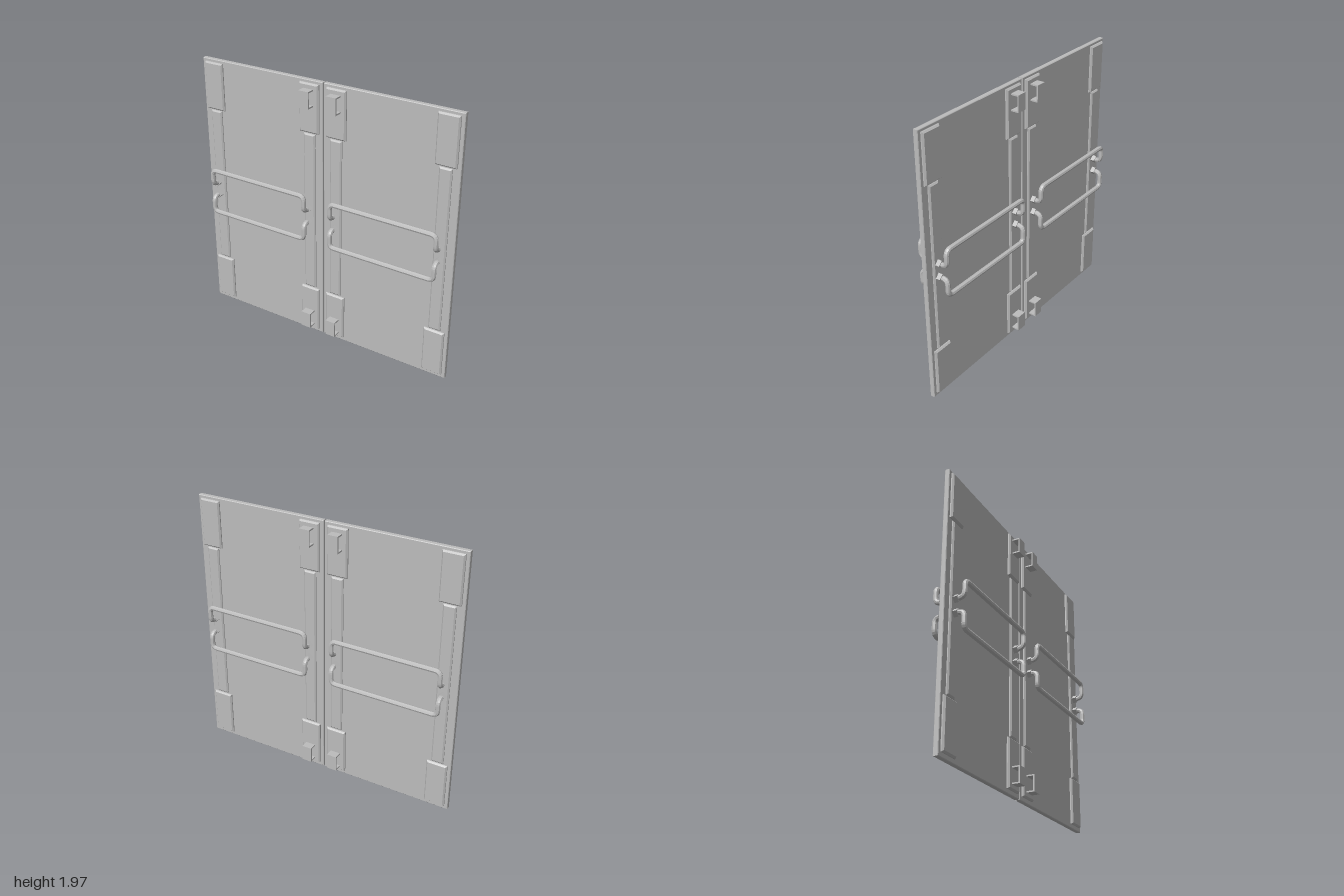
import * as THREE from 'three';

const steel = new THREE.MeshStandardMaterial({ color: 0xbcbcbc, flatShading: true });
steel.name = 'grey steel';

const MID = 0.985; // height of the handle pair's mirror line

function add(parent, name, geometry, x = 0, y = 0, z = 0) {
  const mesh = new THREE.Mesh(geometry, steel);
  mesh.name = name;
  mesh.position.set(x, y, z);
  parent.add(mesh);
  return mesh;
}

// Slab with its outer z faces shrunk by a bevel on both sides
function bevelledSlab(w, h, half, baseHalf, bevel) {
  const parts = [[-half, bevel], [-baseHalf, 0], [baseHalf, 0], [half, bevel]];
  const pos = [];
  const idx = [];
  for (const [z, b] of parts) {
    const x = w / 2 - b, y = h / 2 - b;
    pos.push(-x, -y, z, x, -y, z, x, y, z, -x, y, z);
  }
  for (let r = 0; r < 3; r++) {
    for (let i = 0; i < 4; i++) {
      const a = r * 4 + i, b = r * 4 + (i + 1) % 4;
      idx.push(a, b, b + 4, a, b + 4, a + 4);
    }
  }
  idx.push(0, 2, 1, 0, 3, 2, 12, 13, 14, 12, 14, 15);
  const g = new THREE.BufferGeometry();
  g.setAttribute('position', new THREE.Float32BufferAttribute(pos, 3));
  g.setIndex(idx);
  const flat = g.toNonIndexed();
  flat.computeVertexNormals();
  return flat;
}

// Path through corner points with each corner rounded
function roundedPath(points, radius) {
  const path = new THREE.CurvePath();
  let start = points[0];
  for (let i = 1; i < points.length - 1; i++) {
    const p = points[i];
    const before = p.clone().add(points[i - 1].clone().sub(p).setLength(radius));
    const after = p.clone().add(points[i + 1].clone().sub(p).setLength(radius));
    path.add(new THREE.LineCurve3(start, before));
    path.add(new THREE.QuadraticBezierCurve3(before, p, after));
    start = after;
  }
  path.add(new THREE.LineCurve3(start, points[points.length - 1]));
  return path;
}

// Bar handle: out from the door, up (or down), across and back
function addHandle(parent, x0, x1, up, side) {
  const handle = new THREE.Group();
  handle.name = up > 0 ? 'upperHandle' : 'lowerHandle';
  const yEnd = MID + up * 0.05, yBar = MID + up * 0.167;
  const zIn = side * 0.028, zOut = side * 0.105;
  const points = [
    [x0, yEnd, zIn], [x0, yEnd, zOut], [x0, yBar, zOut],
    [x1, yBar, zOut], [x1, yEnd, zOut], [x1, yEnd, zIn],
  ].map((p) => new THREE.Vector3(...p));
  add(handle, 'handleBar', new THREE.TubeGeometry(roundedPath(points, 0.04), 100, 0.0175, 8));
  // diamond collars where the bar meets the channel
  for (const x of [x0, x1]) {
    const collar = add(handle, 'handleCollar', new THREE.CylinderGeometry(0.029, 0.029, 0.034, 4),
      x, yEnd, side * 0.047);
    collar.rotation.x = Math.PI / 2;
  }
  parent.add(handle);
}

// Folded sheet bracket, open at its left and right
function addBracket(parent, x, y, side) {
  const bracket = new THREE.Group();
  bracket.name = 'latchBracket';
  bracket.position.set(x, y, 0);
  add(bracket, 'bracketFace', new THREE.BoxGeometry(0.076, 0.12, 0.01), 0, 0, side * 0.09);
  for (const s of [-1, 1]) {
    add(bracket, 'bracketArm', new THREE.BoxGeometry(0.076, 0.01, 0.055), 0, s * 0.055, side * 0.06);
  }
  parent.add(bracket);
}

export function createModel() {
  const model = new THREE.Group();
  model.name = 'doubleDoor';

  for (const s of [-1, 1]) {
    const leaf = new THREE.Group();
    leaf.name = s > 0 ? 'leftLeaf' : 'rightLeaf';
    model.add(leaf);

    // door panel
    add(leaf, 'panel', bevelledSlab(0.996, 1.965, 0.018, 0.014, 0.004), s * 0.502, 0.9825, 0);

    // upright channels and corner plates stand proud of both faces
    for (const x of [0.105, 0.9]) {
      add(leaf, 'channel', bevelledSlab(0.09, 1.205, 0.033, 0.024, 0.01), s * x, 0.9875, 0);
      for (const y of [0.2025, 1.7725]) {
        add(leaf, 'cornerPlate', bevelledSlab(0.152, 0.347, 0.037, 0.026, 0.01), s * x, y, 0);
      }
    }

    // handles and latch brackets on front and back
    for (const side of [-1, 1]) {
      for (const up of [-1, 1]) addHandle(leaf, s * 0.106, s * 0.905, up, side);
      for (const y of [0.123, 1.85]) addBracket(leaf, s * 0.106, y, side);
    }
  }
  return model;
}
